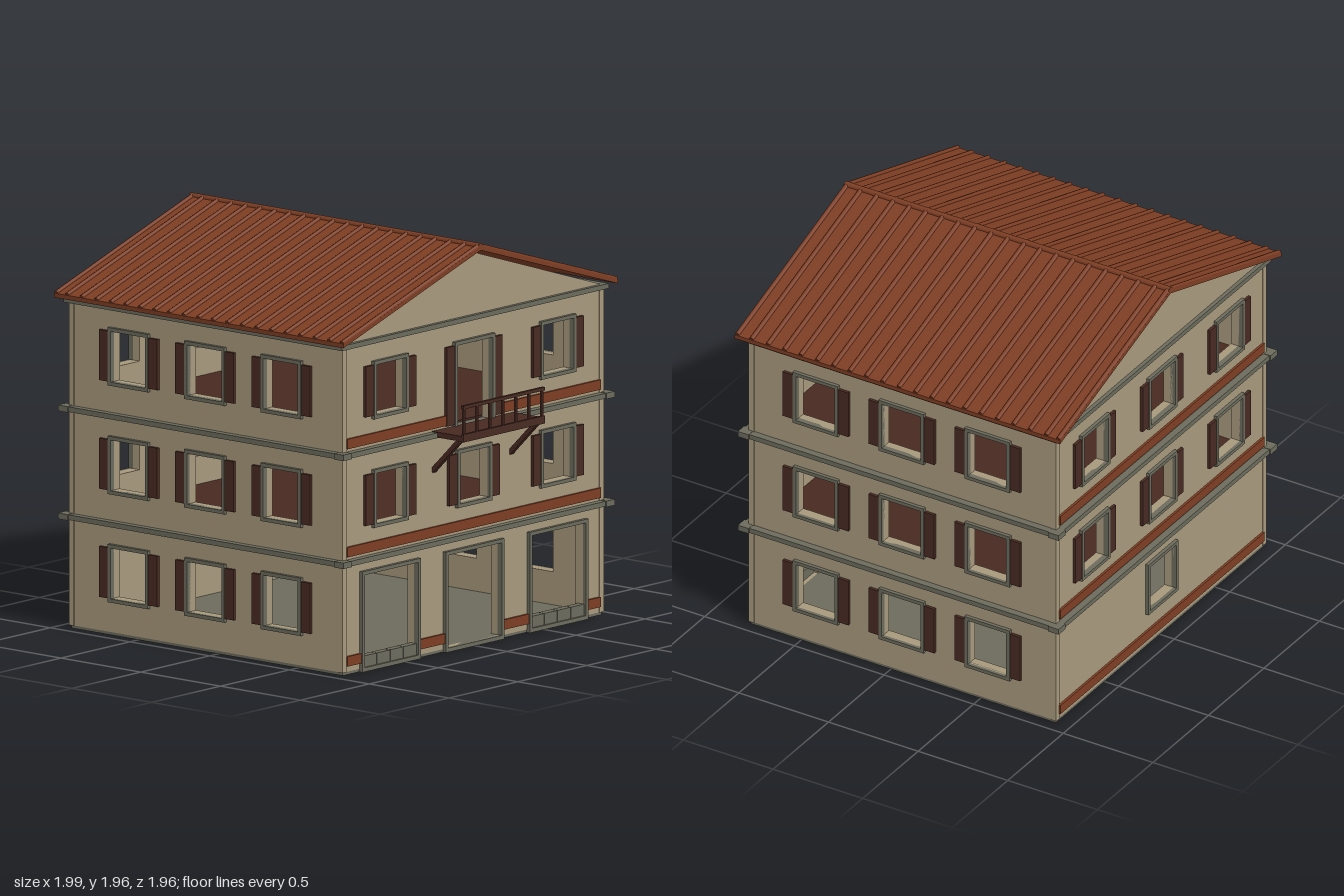
import * as THREE from 'three';

const mat = (name, color, side = THREE.FrontSide) => {
  const m = new THREE.MeshStandardMaterial({ color, side });
  m.name = name;
  return m;
};

export function createModel() {
  const plaster = mat('plaster', 0xa8997c);
  const stone = mat('stone', 0x6c6b5d);
  const terracotta = mat('terracotta', 0x7d3d23);
  const wood = mat('darkWood', 0x482a22);

  const model = new THREE.Group();
  model.name = 'townHouse';
  const HX = 0.942, HZ = 0.853, ZC = -0.07, T = 0.05;

  const add = (parent, name, geo, material) => {
    const m = new THREE.Mesh(geo, material);
    m.name = name;
    parent.add(m);
    return m;
  };
  // Box given by its minimum and maximum on each axis
  const box = (parent, name, material, x0, x1, y0, y1, z0, z1) => {
    const m = add(parent, name, new THREE.BoxGeometry(x1 - x0, y1 - y0, z1 - z0), material);
    m.position.set((x0 + x1) / 2, (y0 + y1) / 2, (z0 + z1) / 2);
    return m;
  };

  // Frame, shutters and wall hole for one opening
  const F = 0.018;
  const opening = (g, shape, o) => {
    const { x, y0, y1, w, shutters = true, door = false } = o;
    const l = x - w / 2, r = x + w / 2, b = door ? y0 : y0 + F;
    const hole = new THREE.Path();
    hole.moveTo(l + F, b);
    hole.lineTo(l + F, y1 - F);
    hole.lineTo(r - F, y1 - F);
    hole.lineTo(r - F, b);
    hole.closePath();
    shape.holes.push(hole);
    const f = new THREE.Group();
    f.name = door ? 'doorFrame' : 'windowFrame';
    g.add(f);
    box(f, 'leftJamb', stone, l, l + F, y0, y1, -0.01, F);
    box(f, 'rightJamb', stone, r - F, r, y0, y1, -0.01, F);
    box(f, 'lintel', stone, l + F, r - F, y1 - F, y1, -0.01, F);
    if (!door) box(f, 'sill', stone, l + F, r - F, y0, y0 + F, -0.01, F);
    if (shutters) {
      box(g, 'leftShutter', wood, l - 0.057, l, y0 + F, y1 - F, -0.005, 0.015);
      box(g, 'rightShutter', wood, r, r + 0.057, y0 + F, y1 - F, -0.005, 0.015);
    }
  };

  // One wall, built with its outer face at local z = 0
  const facade = (name, half, gable, openings, bands) => {
    const g = new THREE.Group();
    g.name = name;
    const s = new THREE.Shape();
    s.moveTo(-half, 0.015);
    s.lineTo(half, 0.015);
    s.lineTo(half, 1.6);
    if (gable) s.lineTo(0, 1.906);
    s.lineTo(-half, 1.6);
    s.closePath();
    openings.forEach(o => opening(g, s, o));
    const geo = new THREE.ExtrudeGeometry(s, { depth: T, bevelEnabled: false });
    geo.translate(0, 0, -T);
    add(g, 'wall', geo, plaster);
    bands.forEach(([x0, x1, y]) => box(g, 'paintedBand', terracotta, x0, x1, y, y + 0.048, -0.005, 0.012));
    model.add(g);
    return g;
  };
  const floorY = [0.162, 0.686, 1.212];
  const row = (xs, f) => xs.map(x => ({ x, y0: floorY[f], y1: floorY[f] + 0.281, w: 0.252 }));
  const X3 = [-0.607, 0, 0.607], Z3 = [-0.479, 0, 0.479];

  // Front: three doorways, windows and a balcony door
  const front = facade('frontFacade', HX, true, [
    ...X3.map(x => ({ x, y0: 0.02, y1: 0.487, w: 0.424, shutters: false, door: true })),
    ...row(X3, 1), ...row([X3[0], X3[2]], 2),
    { x: 0, y0: 1.075, y1: 1.493, w: 0.29, door: true },
  ], [
    [-0.92, -0.819, 0.043], [-0.395, -0.212, 0.043], [0.212, 0.395, 0.043], [0.819, 0.92, 0.043],
    [-0.92, 0.92, 0.572], [-0.92, -0.145, 1.096], [0.145, 0.92, 1.096],
  ]);
  front.position.z = ZC + HZ;
  for (const x of [X3[0], X3[2]]) {
    for (let i = 0; i < 4; i++) {
      const l = x - 0.194 + i * 0.097;
      box(front, 'lowDoorPanel', stone, l + 0.002, l + 0.095, 0.02, 0.075, -0.03, 0.008);
    }
  }
  for (const x of X3) box(front, 'doorStep', stone, x - 0.212, x + 0.212, 0, 0.02, -0.05, 0.018);

  // Back: one plain ground window, two full rows above
  const back = facade('backFacade', HX, true, [
    { x: 0, y0: 0.184, y1: 0.462, w: 0.27, shutters: false },
    ...row(X3, 1), ...row(X3, 2),
  ], [0.043, 0.572, 1.096].map(y => [-0.92, 0.92, y]));
  back.position.z = ZC - HZ;
  back.rotation.y = Math.PI;

  // Sides: three rows of three windows
  for (const s of [-1, 1]) {
    const side = facade(s > 0 ? 'leftFacade' : 'rightFacade', HZ - T, false,
      [0, 1, 2].flatMap(f => row(Z3, f)), []);
    side.position.set(s * HX, 0, ZC);
    side.rotation.y = s * Math.PI / 2;
  }

  // Corner posts
  for (const sx of [-1, 1]) for (const sz of [-1, 1]) {
    const p = add(model, 'cornerPost', new THREE.BoxGeometry(0.03, 1.57, 0.03), plaster);
    p.position.set(sx * 0.932, 0.8, ZC + sz * 0.843);
  }

  // Base, string courses and inner floors
  const slab = (name, m, hx, hz, y0, y1) => box(model, name, m, -hx, hx, y0, y1, ZC - hz, ZC + hz);
  slab('base', stone, 0.938, 0.85, 0, 0.02);
  for (const y of [0.532, 1.055]) {
    slab('stringCourse', stone, 0.978, 0.888, y, y + 0.025);
    slab('innerFloor', wood, HX - T, HZ - T, y - 0.01, y + 0.035);
    for (const sx of [-1, 1]) for (const sz of [-1, 1]) {
      const c = add(model, 'courseCorner', new THREE.BoxGeometry(0.06, 0.029, 0.06), stone);
      c.position.set(sx * 0.955, y + 0.0125, ZC + sz * 0.865);
    }
  }
  slab('eavesCourse', stone, 0.968, 0.873, 1.58, 1.604);
  slab('atticFloor', wood, HX - T, HZ - T, 1.572, 1.61);

  // Balcony with railing and braces
  const balcony = new THREE.Group();
  balcony.name = 'balcony';
  model.add(balcony);
  box(balcony, 'deck', wood, -0.295, 0.295, 1.058, 1.084, 0.785, 0.982);
  box(balcony, 'deckEdge', wood, -0.295, 0.295, 1.056, 1.094, 0.968, 0.983);
  box(balcony, 'handrail', wood, -0.295, 0.295, 1.216, 1.232, 0.965, 0.982);
  for (let i = 0; i < 7; i++) {
    const x = -0.283 + i * 0.0943;
    box(balcony, 'railPost', wood, x - 0.006, x + 0.006, 1.08, 1.22, 0.968, 0.98);
  }
  for (const s of [-1, 1]) {
    const b = add(balcony, 'brace', new THREE.BoxGeometry(0.024, 0.022, 0.235), wood);
    b.position.set(s * 0.28, 0.973, 0.862);
    b.rotation.x = -Math.PI / 4;
  }

  // Roof slab, tile ribs and ridge
  const roof = new THREE.Group();
  roof.name = 'roof';
  model.add(roof);
  const Z0 = -0.98, Z1 = 0.835, DROP = 0.318;
  const rs = new THREE.Shape([[-0.997, 1.603], [0, 1.921], [0.997, 1.603], [0.997, 1.624], [0, 1.942], [-0.997, 1.624]]
    .map(p => new THREE.Vector2(...p)));
  const rg = new THREE.ExtrudeGeometry(rs, { depth: Z1 - Z0, bevelEnabled: false });
  rg.translate(0, 0, Z0);
  add(roof, 'roofSlab', rg, terracotta);
  const ribZ = [Z0 + 0.012, Z1 - 0.012];
  for (let i = 0; i < 19; i++) ribZ.push(-0.9 + i * 0.0913);
  const ribGeo = new THREE.CylinderGeometry(0.012, 0.012, Math.hypot(0.992, DROP), 8);
  for (const s of [-1, 1]) for (const z of ribZ) {
    const r = add(roof, 'tileRib', ribGeo, terracotta);
    r.position.set(s * 0.497, 1.942 - DROP / 2, z);
    r.rotation.z = s * (Math.PI / 2 - Math.atan(DROP / 0.997));
  }
  const ridge = add(roof, 'ridgeCap', new THREE.CylinderGeometry(0.016, 0.016, Z1 - Z0, 10), terracotta);
  ridge.position.set(0, 1.939, (Z0 + Z1) / 2);
  ridge.rotation.x = Math.PI / 2;

  return model;
}
